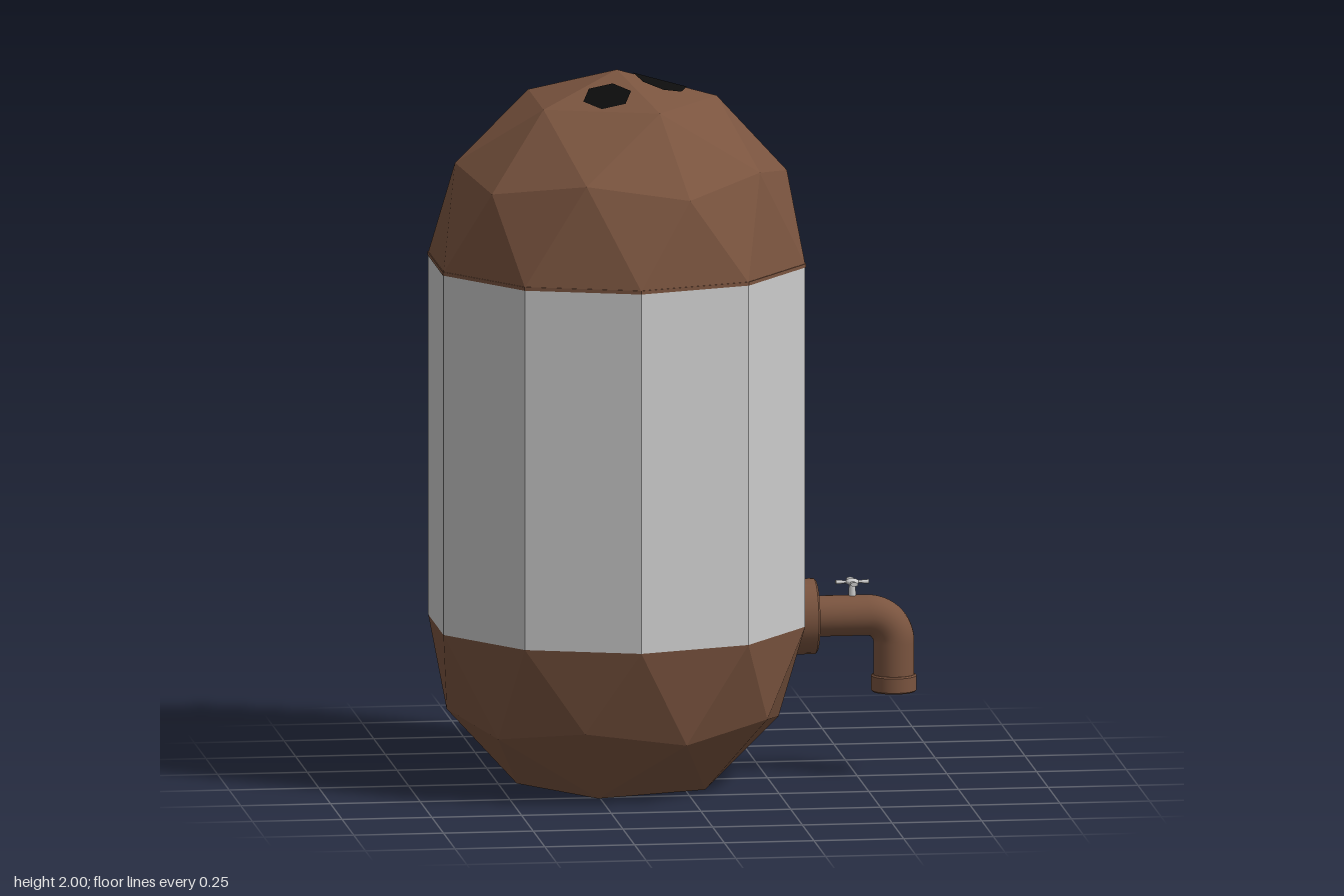
import * as THREE from 'three';

const R = 0.53, CX = -0.17, LOW = 0.453, HIGH = 1.47;
const brown = new THREE.MeshStandardMaterial({ color: 0x7a543f });
const brownFlat = new THREE.MeshStandardMaterial({ color: 0x7a543f, flatShading: true });
const grey = new THREE.MeshStandardMaterial({ color: 0xcccccc });
const greyFlat = new THREE.MeshStandardMaterial({ color: 0xcccccc, flatShading: true });
const black = new THREE.MeshStandardMaterial({ color: 0x0c0c0c, side: THREE.DoubleSide });

function add(parent, name, geometry, material, x = 0, y = 0, z = 0) {
  const mesh = new THREE.Mesh(geometry, material);
  mesh.name = name;
  mesh.position.set(x, y, z);
  parent.add(mesh);
  return mesh;
}

function fromTriangles(triangles) {
  const g = new THREE.BufferGeometry().setFromPoints(triangles.flat());
  g.computeVertexNormals();
  return g;
}

// Point on a circle around the y axis, angle in degrees
function polar(deg, radius, y) {
  const a = THREE.MathUtils.degToRad(deg);
  return new THREE.Vector3(radius * Math.cos(a), y, -radius * Math.sin(a));
}

// Upper half of a faceted ball with fivefold symmetry; a flat one has its tip cut off
function domeGeometry(flat) {
  const tip = new THREE.Vector3(0, R * (flat ? 0.8507 : 1), 0);
  const crown = a => polar(a, R * 0.5257, R * 0.8507);
  const corner = a => polar(a, R * 0.8944, R * 0.4472);
  const mid = a => polar(a, R * 0.8507, R * 0.5257);
  const rim = a => polar(a, R, 0);
  const triangles = [];
  for (let a = 0; a < 360; a += 72) {
    const b = a + 72, m = a + 36;
    triangles.push(
      [tip, crown(a), crown(b)],
      [crown(a), corner(a), mid(m)],
      [crown(a), mid(m), crown(b)],
      [crown(b), mid(m), corner(b)],
      [corner(a), rim(a - 18), rim(a + 18)],
      [corner(a), rim(a + 18), mid(m)],
      [mid(m), rim(a + 18), rim(a + 54)],
      [mid(m), rim(a + 54), corner(b)],
    );
  }
  return fromTriangles(triangles);
}

// Height of the five-sided roof at an offset from its tip
function roofHeight(dx, dz) {
  let drop = 0;
  for (let a = 36; a < 360; a += 72) {
    const d = polar(a, 1, 0);
    drop = Math.max(drop, 0.3504 * (dx * d.x + dz * d.z));
  }
  return R - drop;
}

// Dark opening that folds over the roof facets
function holeGeometry(x, z, radius, sides, turn) {
  const at = (dx, dz) => new THREE.Vector3(x + dx, roofHeight(x + dx, z + dz) + 0.003, z + dz);
  const rim = i => {
    const p = polar(turn + (i * 360) / sides, radius, 0);
    return at(p.x, p.z);
  };
  const triangles = [];
  for (let i = 0; i < sides; i++) triangles.push([at(0, 0), rim(i), rim(i + 1)]);
  return fromTriangles(triangles);
}

// Short round collar with a small bevel, standing on y = 0
function collarGeometry(radius, height, bevel) {
  const profile = [[0, 0], [radius - bevel, 0], [radius, bevel], [radius, height - bevel],
    [radius - bevel, height], [0, height]];
  // Doubled corners keep the edges crisp
  const points = profile.flatMap(([x, y]) => [new THREE.Vector2(x, y), new THREE.Vector2(x, y)]);
  return new THREE.LatheGeometry(points, 28);
}

function createTank() {
  const tank = new THREE.Group();
  tank.name = 'tank';
  tank.position.x = CX;

  const barrel = new THREE.CylinderGeometry(R, R, HIGH - LOW - 0.005, 10);
  add(tank, 'barrel', barrel, greyFlat, 0, (LOW + HIGH - 0.005) / 2);

  // Lower bowl with a flat pentagonal foot
  add(tank, 'bottomBowl', domeGeometry(true), brownFlat, 0, LOW).rotation.z = Math.PI;

  // Lid with a thin rim
  const lid = new THREE.Group();
  lid.name = 'lid';
  lid.position.y = HIGH;
  tank.add(lid);
  add(lid, 'lidDome', domeGeometry(false), brownFlat);
  add(lid, 'lidRim', new THREE.CylinderGeometry(R + 0.002, R + 0.002, 0.01, 10), brownFlat, 0, -0.003);

  // Three openings on the lid
  add(lid, 'frontHole', holeGeometry(0.12, 0, 0.075, 8, 0), black);
  for (const s of [-1, 1]) {
    add(lid, 'sideHole', holeGeometry(-0.045, s * 0.142, 0.069, 6, -s * 50), black);
  }
  return tank;
}

function createTap() {
  const tap = new THREE.Group();
  tap.name = 'tap';
  tap.position.y = LOW;

  // Wall flange
  add(tap, 'flange', collarGeometry(0.105, 0.08, 0.005), brown, 0.305).rotation.z = -Math.PI / 2;

  // Bent pipe
  const v = (x, y) => new THREE.Vector3(x, y, 0);
  const path = new THREE.CurvePath();
  const bend = 0.075, spoutX = 0.602;
  path.add(new THREE.LineCurve3(v(0.32, 0), v(spoutX - bend, 0)));
  path.add(new THREE.CubicBezierCurve3(v(spoutX - bend, 0), v(spoutX - bend * 0.45, 0),
    v(spoutX, -bend * 0.45), v(spoutX, -bend)));
  path.add(new THREE.LineCurve3(v(spoutX, -bend), v(spoutX, -0.2)));
  add(tap, 'pipe', new THREE.TubeGeometry(path, 48, 0.057, 24), brown);
  add(tap, 'spoutCollar', collarGeometry(0.063, 0.048, 0.004), brown, spoutX, -0.215);

  // Cross handle on a stem
  const handle = new THREE.Group();
  handle.name = 'handle';
  handle.position.set(0.486, 0, 0);
  tap.add(handle);
  add(handle, 'stem', new THREE.CylinderGeometry(0.008, 0.012, 0.06, 12), grey, 0, 0.07);
  add(handle, 'hub', new THREE.SphereGeometry(0.019, 16, 10), grey, 0, 0.094).scale.y = 0.5;
  for (let i = 0; i < 4; i++) {
    const arm = new THREE.CylinderGeometry(0.011, 0.006, 0.036, 12);
    arm.rotateZ(-Math.PI / 2).scale(1, 0.55, 1).translate(0.028, 0, 0).rotateY((i * Math.PI) / 2);
    add(handle, 'handleArm', arm, grey, 0, 0.094);
  }
  return tap;
}

export function createModel() {
  const model = new THREE.Group();
  model.name = 'dispenser';
  model.add(createTank(), createTap());
  return model;
}
